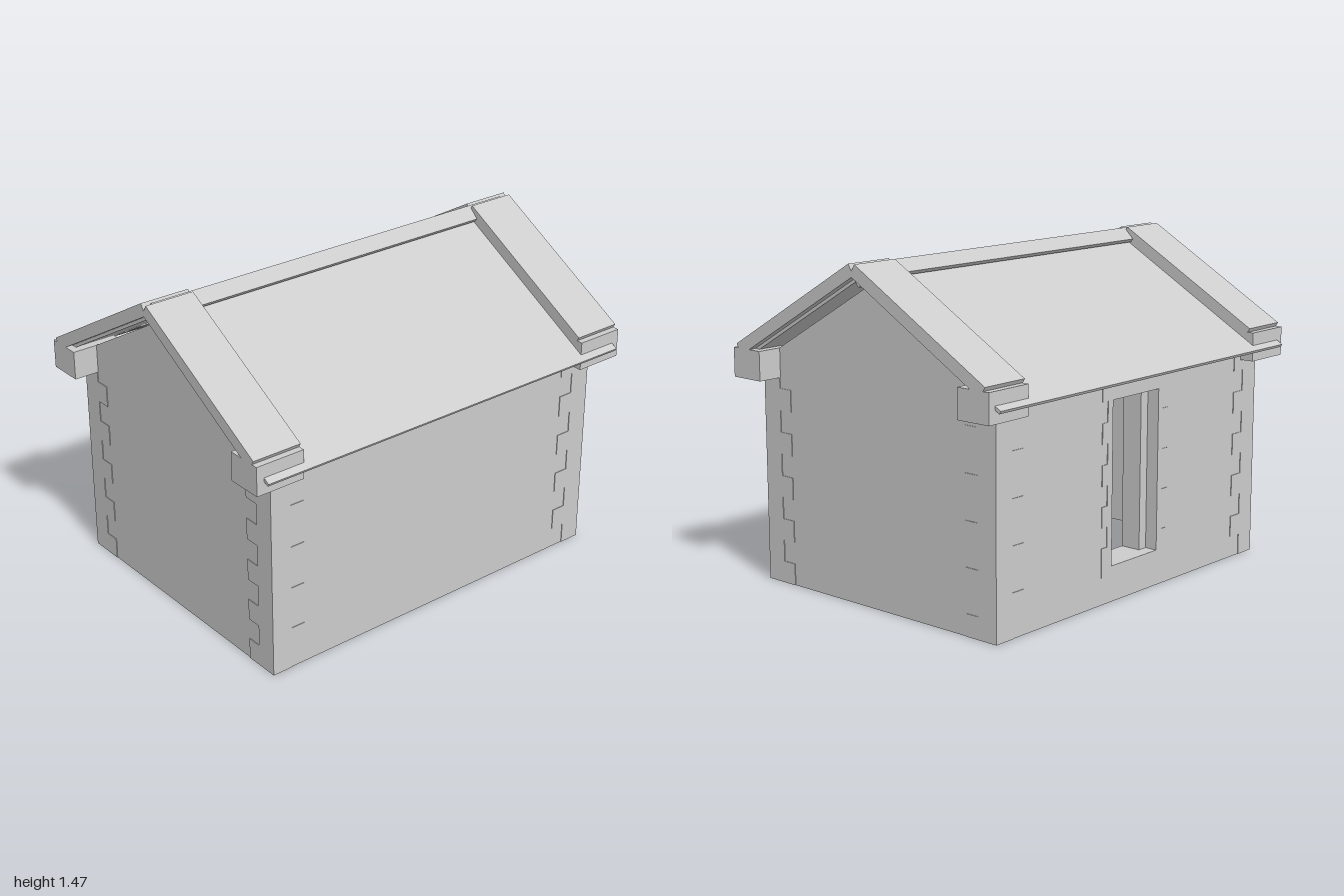
import * as THREE from 'three';

export function createModel() {
  const model = new THREE.Group();
  const stone = new THREE.MeshStandardMaterial({ color: 0xcccccc, side: THREE.DoubleSide });
  stone.name = 'paleGrey';

  const add = (name, geometry, parent = model) => {
    const mesh = new THREE.Mesh(geometry, stone);
    mesh.name = name;
    parent.add(mesh);
    return mesh;
  };
  const group = (name) => {
    const g = new THREE.Group();
    g.name = name;
    model.add(g);
    return g;
  };
  // Box given by its limits on each axis
  const block = (name, x0, x1, y0, y1, z0, z1, parent) => {
    const g = new THREE.BoxGeometry(Math.abs(x1 - x0), y1 - y0, Math.abs(z1 - z0));
    g.translate((x0 + x1) / 2, (y0 + y1) / 2, (z0 + z1) / 2);
    return add(name, g, parent);
  };
  const polygon = (points) => new THREE.Shape(points.map(([x, y]) => new THREE.Vector2(x, y)));
  // Outline in x and y, drawn out along z
  const prism = (name, points, z0, z1, parent) => {
    const g = new THREE.ExtrudeGeometry(polygon(points), { depth: z1 - z0, bevelEnabled: false });
    g.translate(0, 0, z0);
    return add(name, g, parent);
  };

  const W = 0.672, D = 0.885, EAVE = 0.995, GABLE = 1.383;
  const COS = Math.cos(Math.PI / 6), SIN = 0.5;

  // Slab lying along one roof slope: a..b down the slope, lo..hi above the roof line
  const slopeSlab = (name, side, a, b, lo, hi, z0, z1, parent) => {
    const at = (s, n) => [side * (s * COS + n * SIN), 1.42 - s * SIN + n * COS];
    return prism(name, [at(a, lo), at(b, lo), at(b, hi), at(a, hi)], z0, z1, parent);
  };

  // Thin walls, open underneath
  const walls = group('walls');
  for (const s of [1, -1]) {
    const gable = new THREE.ShapeGeometry(
      polygon([[-W, 0], [W, 0], [W, EAVE], [0, GABLE], [-W, EAVE]]));
    if (s < 0) gable.rotateY(Math.PI);
    gable.translate(0, 0, s * D);
    add(s > 0 ? 'frontGableWall' : 'backGableWall', gable, walls);

    const side = polygon([[-D, 0], [D, 0], [D, EAVE], [-D, EAVE]]);
    if (s < 0) {
      side.holes.push(new THREE.Path(
        [[-0.157, 0.16], [-0.157, 0.88], [0.157, 0.88], [0.157, 0.16]]
          .map(([x, y]) => new THREE.Vector2(x, y))));
    }
    const sideGeometry = new THREE.ShapeGeometry(side);
    sideGeometry.rotateY(s * Math.PI / 2);
    sideGeometry.translate(s * W, 0, 0);
    add(s > 0 ? 'leftWall' : 'rightWall', sideGeometry, walls);
  }

  // Corner stones, long and short in turn, set just proud of the walls
  const quoins = group('cornerStones');
  const COURSE = 0.097, PROUD = 0.003;
  for (const sx of [1, -1]) {
    for (const sz of [1, -1]) {
      for (let i = 0; i < 10; i++) {
        const lx = i % 2 ? 0.095 : 0.162, lz = i % 2 ? 0.162 : 0.095;
        block('cornerStone', sx * (W + PROUD), sx * (W - lx), i * COURSE, (i + 1) * COURSE,
          sz * (D + PROUD), sz * (D - lz), quoins);
      }
    }
  }

  // Window surround with a stepped reveal
  const windowFrame = group('windowSurround');
  const face = -W - PROUD, step = -W + 0.055, inner = -W + 0.15;
  for (const s of [1, -1]) {
    for (let i = 0; i < 8; i++) {
      const y = 0.16 + i * 0.09, outer = i % 2 ? 0.19 : 0.225;
      block('jambStone', face, step, y, y + 0.09, s * 0.157, s * outer, windowFrame);
      block('innerJambStone', step, inner, y, y + 0.09, s * 0.11, s * outer, windowFrame);
    }
  }
  block('sill', face, inner, 0.12, 0.16, -0.225, 0.225, windowFrame);
  block('lintel', face, inner, 0.88, 0.95, -0.225, 0.225, windowFrame);

  // Roof sheets, battens, gable copings and eave blocks
  const roof = group('roof');
  for (const sx of [1, -1]) {
    slopeSlab('roofSheet', sx, 0, 0.888, -0.014, 0, -0.965, 0.965, roof);
    for (const [a, b] of [[0.05, 0.1], [0.24, 0.31], [0.4, 0.5], [0.53, 0.59]]) {
      slopeSlab('batten', sx, a / COS, b / COS, -0.019, -0.013, -0.77, 0.77, roof);
    }
    for (const sz of [1, -1]) {
      const z0 = sz > 0 ? 0.77 : -1;
      slopeSlab('coping', sx, -0.012, 0.8, 0, 0.055, z0, z0 + 0.23, roof);
      block('eaveBlock', sx * 0.575, sx * 0.74, 0.92, 1.05, z0, z0 + 0.23, roof);
    }
  }

  // Folded ridge cap and the small beam below it
  prism('ridgeCap', [[0, 1.47], [-0.052, 1.42], [-0.04, 1.405], [0, 1.444], [0.04, 1.405], [0.052, 1.42]],
    -0.96, 0.96, roof);
  prism('ridgeBeam', [[0, 1.374], [0.022, 1.396], [0, 1.418], [-0.022, 1.396]], -0.96, 0.96, roof);

  return model;
}
